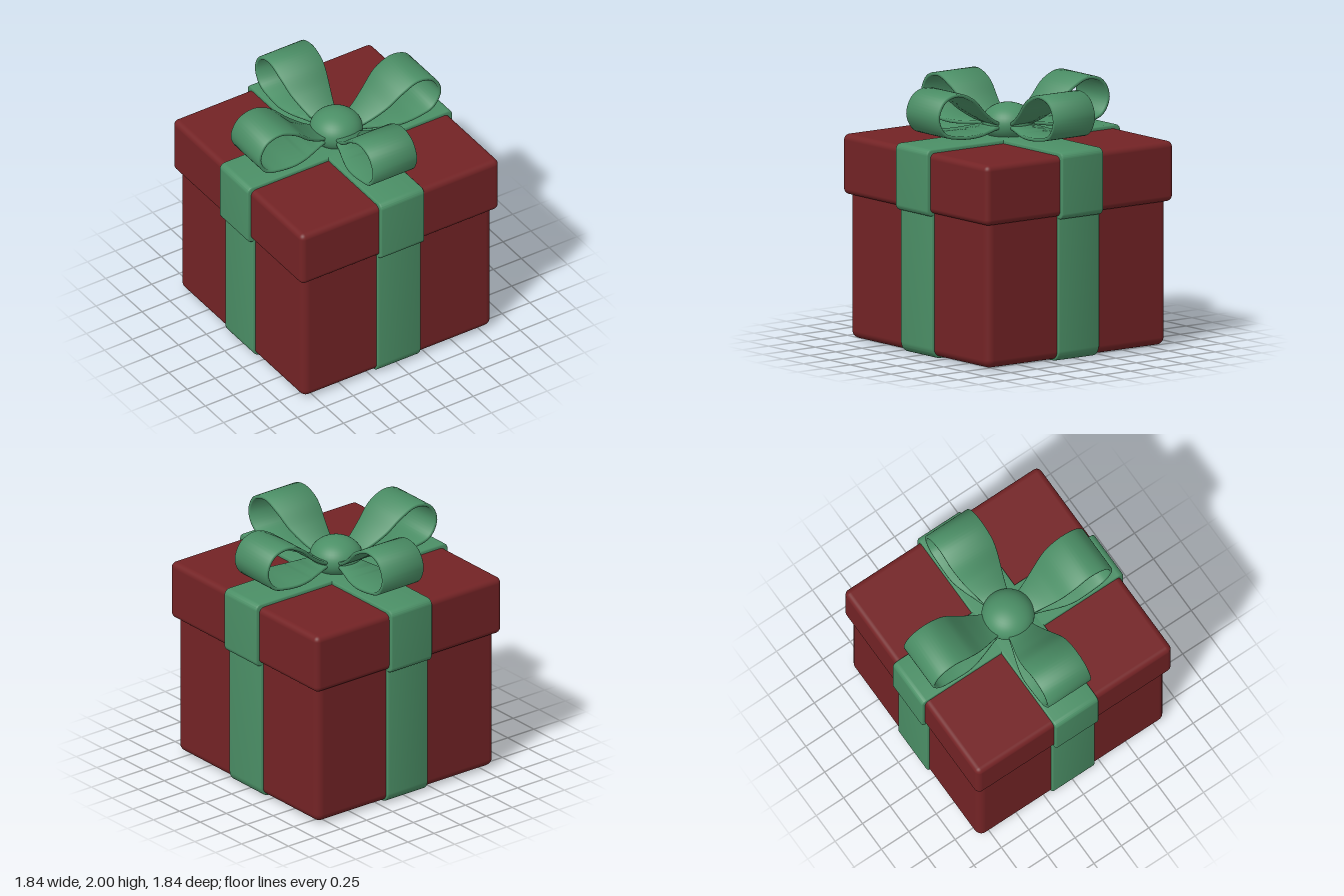
import * as THREE from 'three';
import { toCreasedNormals } from 'three/addons/utils/BufferGeometryUtils.js';
import { RoundedBoxGeometry } from 'three/addons/geometries/RoundedBoxGeometry.js';

// Upright slab with a rounded outline, used for the ribbon bands
function bandGeometry(halfWidth, y0, y1, radius, ribbonHalf) {
  const s = new THREE.Shape();
  const bevel = 0.012, w = halfWidth - bevel, b = y0 + bevel, t = y1 - bevel, r = radius;
  s.moveTo(-w + r, b);
  s.lineTo(w - r, b);
  s.absarc(w - r, b + r, r, -Math.PI / 2, 0);
  s.lineTo(w, t - r);
  s.absarc(w - r, t - r, r, 0, Math.PI / 2);
  s.lineTo(-w + r, t);
  s.absarc(-w + r, t - r, r, Math.PI / 2, Math.PI);
  s.lineTo(-w, b + r);
  s.absarc(-w + r, b + r, r, Math.PI, Math.PI * 1.5);
  const depth = 2 * (ribbonHalf - bevel);
  const geo = new THREE.ExtrudeGeometry(s, {
    depth, bevelEnabled: true, bevelSize: bevel, bevelThickness: bevel, bevelSegments: 3, curveSegments: 8,
  });
  geo.translate(0, 0, -depth / 2);
  return toCreasedNormals(geo, 0.7);
}

// Teardrop ribbon loop pointing along +x, narrowing towards the knot
function loopGeometry() {
  const curve = new THREE.CatmullRomCurve3([
    [0.08, 1.68], [0.2, 1.72], [0.34, 1.81], [0.48, 1.93], [0.62, 1.985], [0.75, 1.945], [0.808, 1.82],
    [0.75, 1.7], [0.62, 1.66], [0.4, 1.652], [0.2, 1.672], [0.08, 1.68],
  ].map(([x, y]) => new THREE.Vector3(x, y, 0)));
  const steps = 72, half = 0.013, edge = 0.006;
  const pos = [], index = [];
  for (let i = 0; i <= steps; i++) {
    const p = curve.getPointAt(i / steps), t = curve.getTangentAt(i / steps);
    const w = 0.09 + 0.105 * THREE.MathUtils.smoothstep(p.x, 0.05, 0.52);
    // chamfered strip section: offset along the outward normal, then across
    const section = [
      [half, w - edge], [half, -w + edge], [half - edge, -w], [edge - half, -w],
      [-half, -w + edge], [-half, w - edge], [edge - half, w], [half - edge, w],
    ];
    for (const [n, z] of section) pos.push(p.x - t.y * n, p.y + t.x * n, z);
  }
  for (let i = 0; i < steps; i++) {
    for (let j = 0; j < 8; j++) {
      const k = (j + 1) % 8, a = i * 8, b = a + 8;
      index.push(a + j, b + j, b + k, a + j, b + k, a + k);
    }
  }
  const geo = new THREE.BufferGeometry();
  geo.setAttribute('position', new THREE.Float32BufferAttribute(pos, 3));
  geo.setIndex(index);
  return toCreasedNormals(geo, 0.9);
}

export function createModel() {
  const red = new THREE.MeshStandardMaterial({ color: 0x732325 });
  red.name = 'red paper';
  const green = new THREE.MeshStandardMaterial({ color: 0x4b8f66 });
  green.name = 'green ribbon';

  const model = new THREE.Group();
  model.name = 'giftBox';
  const add = (name, geo, mat, y = 0, turn = 0) => {
    const mesh = new THREE.Mesh(geo, mat);
    mesh.name = name;
    mesh.position.y = y;
    mesh.rotation.y = turn;
    model.add(mesh);
    return mesh;
  };

  // Box and lid
  add('boxBody', new RoundedBoxGeometry(1.7, 1.16, 1.7, 5, 0.06), red, 0.595);
  add('lid', new RoundedBoxGeometry(1.78, 0.46, 1.78, 5, 0.045), red, 1.342);

  // Crossed ribbon bands around the body and the lid
  const bodyBand = bandGeometry(0.872, 0, 1.2, 0.07, 0.193);
  const lidBand = bandGeometry(0.92, 1.09, 1.6, 0.035, 0.195);
  ['Across', 'Along'].forEach((dir, i) => {
    add('bodyRibbon' + dir, bodyBand, green, 0, i * Math.PI / 2);
    add('lidRibbon' + dir, lidBand, green, 0, i * Math.PI / 2);
  });

  // Bow: four loops and a round knot
  const loop = loopGeometry();
  ['Left', 'Back', 'Right', 'Front'].forEach((side, i) => {
    add('bowLoop' + side, loop, green, 0, i * Math.PI / 2);
  });
  add('knot', new THREE.SphereGeometry(1, 40, 24), green, 1.69).scale.set(0.2, 0.15, 0.2);

  return model;
}
